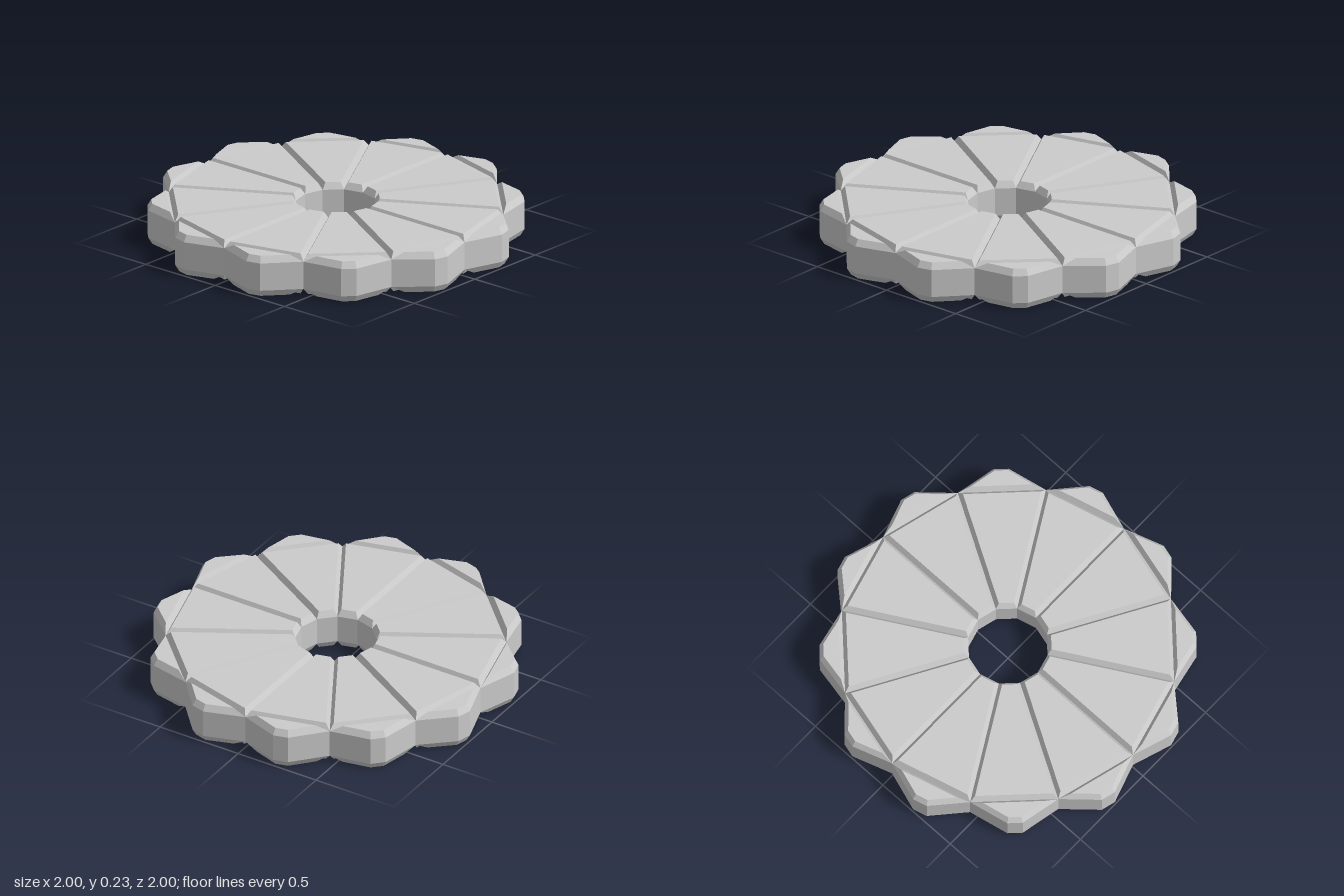
import * as THREE from 'three';

const SECTORS = 12, HEIGHT = 0.232, BEVEL = 0.021, BEVEL_H = 0.037;
const STEP = (Math.PI * 2) / SECTORS;
const polar = (r, a) => new THREE.Vector2(r * Math.cos(a), r * Math.sin(a));

// Mitred inset of a convex counter-clockwise outline
function inset(points, d) {
  const n = points.length;
  return points.map((p, i) => {
    const e1 = p.clone().sub(points[(i + n - 1) % n]).normalize();
    const e2 = points[(i + 1) % n].clone().sub(p).normalize();
    const n1 = new THREE.Vector2(-e1.y, e1.x), n2 = new THREE.Vector2(-e2.y, e2.x);
    const k = d / (1 + n1.dot(n2));
    return p.clone().add(n1.add(n2).multiplyScalar(k));
  });
}

// Upright block from an outline, chamfered around its top and bottom
function bevelledBlock(outline) {
  const small = inset(outline, BEVEL), n = outline.length;
  const rings = [[small, 0], [outline, BEVEL_H], [outline, HEIGHT - BEVEL_H], [small, HEIGHT]];
  const positions = [], index = [];
  for (const [pts, y] of rings) for (const p of pts) positions.push(p.x, y, -p.y);
  for (let r = 0; r < 3; r++) {
    for (let i = 0; i < n; i++) {
      const j = (i + 1) % n, a = r * n + i, b = r * n + j;
      index.push(a, b, b + n, a, b + n, a + n);
    }
  }
  for (let i = 1; i < n - 1; i++) {
    index.push(0, i + 1, i);
    index.push(3 * n, 3 * n + i, 3 * n + i + 1);
  }
  const geo = new THREE.BufferGeometry();
  geo.setAttribute('position', new THREE.Float32BufferAttribute(positions, 3));
  geo.setIndex(index);
  const flat = geo.toNonIndexed();
  flat.computeVertexNormals();
  return flat;
}

export function createModel() {
  const model = new THREE.Group();
  model.name = 'segmentedDisc';
  const material = new THREE.MeshStandardMaterial({ color: 0xcccccc, flatShading: true });

  // Tapered slab between the centre hole and the rim
  const wedge = bevelledBlock([polar(0.222, 0), polar(0.926, 0), polar(0.926, STEP), polar(0.222, STEP)]);
  // Blunt lobe sitting on the outer chord of a wedge
  const lobe = bevelledBlock([
    polar(0.926, 0), polar(1.025, STEP / 2 - 0.041), polar(1.025, STEP / 2 + 0.041), polar(0.926, STEP),
  ]);

  for (let i = 0; i < SECTORS; i++) {
    const sector = new THREE.Group();
    sector.name = `sector${i + 1}`;
    for (const [name, geo] of [['wedge', wedge], ['rimLobe', lobe]]) {
      const mesh = new THREE.Mesh(geo, material);
      mesh.name = name;
      sector.add(mesh);
    }
    sector.rotation.y = i * STEP;
    model.add(sector);
  }
  return model;
}
